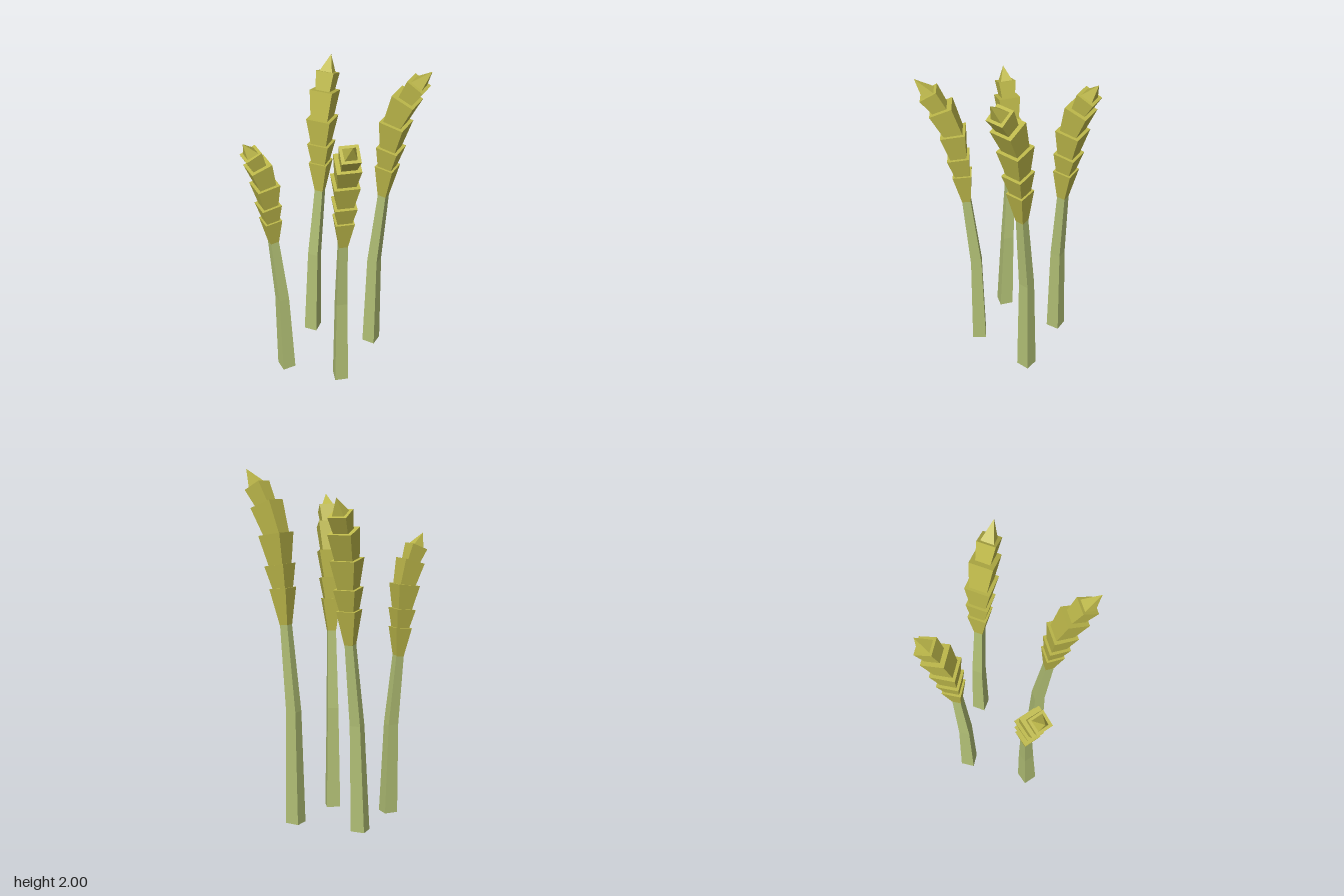
import * as THREE from 'three';

const stemMat = new THREE.MeshStandardMaterial({ color: 0xb0be74 });
stemMat.name = 'stem green';
const grainMat = new THREE.MeshStandardMaterial({ color: 0xbdb84a });
grainMat.name = 'grain yellow';

// Ear pieces at full size: bottom [lean, y, half width], top [lean, y, half width]
const EAR = [
  [[0.058, 1.14, 0.025], [0.078, 1.345, 0.054]],
  [[0.075, 1.33, 0.039], [0.096, 1.475, 0.063]],
  [[0.092, 1.46, 0.044], [0.121, 1.645, 0.071]],
  [[0.112, 1.63, 0.05], [0.182, 1.81, 0.067]],
  [[0.18, 1.795, 0.041], [0.245, 1.91, 0.053]],
  [[0.243, 1.905, 0.037], [0.317, 2.0, 0]],
];

// Stem rings: [lean, y, half width, share of the sideways shift]
const STEM = [
  [0, 0, 0.04, 0],
  [0.01, 0.65, 0.031, 0.4],
  [0.06, 1.16, 0.024, 1],
];

function faceted(geo) {
  const g = geo.toNonIndexed();
  g.computeVertexNormals();
  return g;
}

// Square prism of unit half width, with sides facing the axes
function squarePrism(top, bottom, height, rows) {
  const r = Math.SQRT2;
  return new THREE.CylinderGeometry(top * r, bottom * r, height, 4, rows).rotateY(Math.PI / 4);
}

function makeStem(s) {
  const geo = squarePrism(1, 1, 2, 2);
  const p = geo.attributes.position;
  for (let i = 0; i < p.count; i++) {
    const [lean, y, half, share] = STEM[Math.round(p.getY(i) + 1)];
    p.setXYZ(i, p.getX(i) * half + lean * s.lean, y * s.height, p.getZ(i) * half + share * s.side);
  }
  const mesh = new THREE.Mesh(faceted(geo), stemMat);
  mesh.name = 'stem';
  return mesh;
}

// One flared grain segment, tilted along its own axis
function makeGrain(s, [a, b], name) {
  const du = (b[0] - a[0]) * s.lean;
  const dy = (b[1] - a[1]) * s.height;
  const geo = squarePrism(b[2] * s.width, a[2] * s.width, Math.hypot(du, dy), 1);
  geo.rotateZ(-Math.atan2(du, dy));
  geo.translate((a[0] + b[0]) / 2 * s.lean, (a[1] + b[1]) / 2 * s.height, s.side);
  const mesh = new THREE.Mesh(faceted(geo), grainMat);
  mesh.name = name;
  return mesh;
}

function makeStalk(s) {
  const stalk = new THREE.Group();
  stalk.name = s.name;
  stalk.add(makeStem(s));
  const ear = new THREE.Group();
  ear.name = 'ear';
  EAR.forEach((e, i) => ear.add(makeGrain(s, e, i === EAR.length - 1 ? 'earTip' : 'grain' + (i + 1))));
  stalk.add(ear);
  stalk.position.set(s.x, 0, s.z);
  stalk.rotation.y = -THREE.MathUtils.degToRad(s.angle);
  return stalk;
}

export function createModel() {
  const model = new THREE.Group();
  model.name = 'wheat';
  // angle is the direction of lean, measured from +x towards +z
  const stalks = [
    { name: 'backLeftStalk', x: 0.105, z: -0.24, angle: 0, height: 1, lean: 1, side: 0, width: 1 },
    { name: 'frontLeftStalk', x: 0.09, z: 0.145, angle: 51.5, height: 0.925, lean: 1, side: 0, width: 0.97 },
    { name: 'backRightStalk', x: -0.28, z: -0.172, angle: -97, height: 0.9275, lean: 0.73, side: 0.045, width: 1 },
    { name: 'frontRightStalk', x: -0.25, z: 0.215, angle: 125, height: 0.82, lean: 0.585, side: 0.045, width: 0.92 },
  ];
  for (const s of stalks) model.add(makeStalk(s));
  return model;
}
